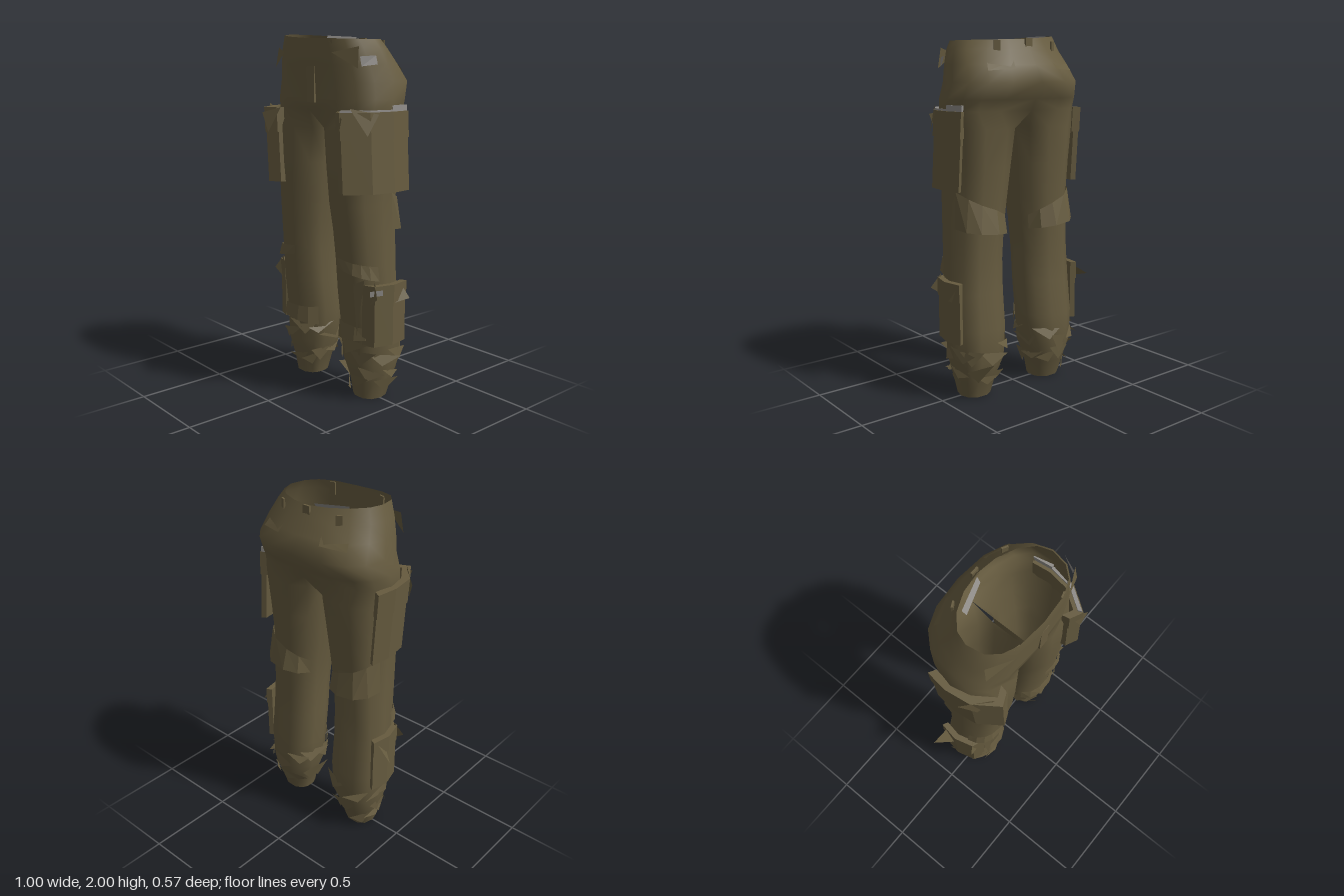
import * as THREE from 'three';
import { mergeVertices } from 'three/addons/utils/BufferGeometryUtils.js';

const rad = THREE.MathUtils.degToRad, lerp = THREE.MathUtils.lerp;
const pow = (v, p) => Math.sign(v) * Math.abs(v) ** p;

// hip rings: y, half width, front z, back z, back roundness (the last one is the crotch ring)
const HIPS = [
  [1.975, 0.315, 0.238, -0.155, 1.05], [1.92, 0.345, 0.24, -0.19, 1.05], [1.84, 0.372, 0.235, -0.235, 0.9],
  [1.75, 0.395, 0.23, -0.288, 0.82], [1.66, 0.415, 0.225, -0.235, 0.78], [1.6, 0.415, 0.22, -0.205, 0.75],
];
// leg rings: y, inner x, outer x, front z, back z
const LEG = [
  [1.5, 0.01, 0.405, 0.22, -0.185], [1.3, 0.035, 0.39, 0.22, -0.17], [1.1, 0.055, 0.385, 0.21, -0.15],
  [0.95, 0.075, 0.39, 0.195, -0.145], [0.78, 0.085, 0.395, 0.18, -0.14], [0.6, 0.085, 0.405, 0.165, -0.145],
  [0.4, 0.085, 0.41, 0.14, -0.165], [0.22, 0.1, 0.4, 0.135, -0.165], [0.1, 0.145, 0.37, 0.1, -0.12],
  [0, 0.165, 0.345, 0.085, -0.09],
];
const ARC = 8, RING = 11;

// point on a leg; the angle runs from the front over the outer side to the back
function legPoint(y, deg, off = 0) {
  let i = 0;
  while (i < LEG.length - 2 && LEG[i + 1][0] > y) i++;
  const t = (LEG[i][0] - y) / (LEG[i][0] - LEG[i + 1][0]);
  const [, xi, xo, zf, zb] = LEG[i].map((v, k) => lerp(v, LEG[i + 1][k], t));
  const s = pow(Math.sin(rad(deg)), 0.85), c = pow(Math.cos(rad(deg)), 0.85);
  return [(xi + xo) / 2 + ((xo - xi) / 2 + off) * s, y, (zf + zb) / 2 + ((zf - zb) / 2 + off) * c];
}

function hipPoint(row, j, side) {
  const [y, w, zf, zb, round] = HIPS[row], crotch = row === HIPS.length - 1;
  // the crotch seam is slightly open
  if (j > ARC) return [crotch ? 0.01 : 0, crotch ? 1.565 : y, lerp(zb, zf, (j - ARC) / (RING - ARC))];
  const t = Math.PI * j / ARC, back = j > ARC / 2;
  const lift = row === 0 ? (side > 0 ? -0.008 : 0.025) * Math.sin(t) : 0;
  return [w * pow(Math.max(0, Math.sin(t)), back ? round : 0.7), y + lift,
    (zf + zb) / 2 + (zf - zb) / 2 * pow(Math.cos(t), back ? round : 0.8)];
}

// both halves of the cloth shell, welded along the middle seam
function trouserGeometry() {
  const pos = [], idx = [], rows = HIPS.length + LEG.length;
  for (const side of [1, -1]) {
    const base = pos.length / 3;
    for (let r = 0; r < rows; r++) for (let j = 0; j < RING; j++) {
      const deg = j <= ARC ? lerp(-50, 230, j / ARC) : lerp(230, 310, (j - ARC) / (RING - ARC));
      const p = r < HIPS.length ? hipPoint(r, j, side) : legPoint(LEG[r - HIPS.length][0], deg);
      pos.push(side * p[0], p[1], p[2]);
    }
    for (let r = 0; r < rows - 1; r++) {
      const n = r < HIPS.length - 1 ? ARC : RING;
      for (let j = 0; j < n; j++) {
        const a = base + r * RING + j, b = base + r * RING + (j + 1) % RING, c = a + RING, d = b + RING;
        if (side > 0) idx.push(a, c, b, b, c, d);
        else idx.push(a, b, c, b, d, c);
      }
    }
  }
  const g = new THREE.BufferGeometry();
  g.setAttribute('position', new THREE.Float32BufferAttribute(pos, 3));
  g.setIndex(idx);
  const welded = mergeVertices(g, 1e-4);
  welded.computeVertexNormals();
  return welded;
}

// loose triangles of creased cloth
function foldGeometry(tris) {
  const g = new THREE.BufferGeometry();
  g.setAttribute('position', new THREE.Float32BufferAttribute(tris.flat(2), 3));
  g.computeVertexNormals();
  return g;
}
const quad = (a, b, c, d) => [[a, b, c], [a, c, d]];

// strip of cloth around a leg, hanging away from it at the lower edge
function ribbon(a0, a1, top, bottom, flare, steps = 5) {
  const at = (i, ys, off) => legPoint(lerp(...ys, i / steps), lerp(a0, a1, i / steps), off);
  const out = i => 0.01 + flare * Math.sin(Math.PI * i / steps);
  return Array.from({ length: steps }, (_, i) => quad(
    at(i, top, 0.004), at(i, bottom, out(i)), at(i + 1, bottom, out(i + 1)), at(i + 1, top, 0.004))).flat();
}

// upright curved slab following an outline of [x, z] points; lean slants it sideways
function slabGeometry(outline, y0, y1, { grow = 0, depth = 0.88, lean = 0 } = {}) {
  const c = [0.2, 0];
  const at = (p, f) => new THREE.Vector2(c[0] + (p[0] - c[0]) * f, -(c[1] + (p[1] - c[1]) * f));
  const pts = [...outline.map(p => at(p, 1 + grow)), ...outline.map(p => at(p, depth)).reverse()];
  const g = new THREE.ExtrudeGeometry(new THREE.Shape(pts), { depth: y1 - y0, bevelEnabled: false });
  g.rotateX(-Math.PI / 2).translate(0, y0, 0);
  const p = g.attributes.position;
  for (let i = 0; i < p.count; i++) p.setX(i, p.getX(i) + lean * (p.getY(i) - 1.38));
  g.computeVertexNormals();
  return g;
}

const THIGH = [[0.25, 0.235], [0.32, 0.268], [0.41, 0.14], [0.43, 0], [0.415, -0.12]];
const SHIN = [[0.34, 0.135], [0.41, 0.11], [0.44, 0], [0.42, -0.11]];

function creases(seed) {
  let s = seed;
  const rnd = () => (s = (s * 16807) % 2147483647) / 2147483647;
  const tris = [
    ...ribbon(105, 240, [1.17, 1.0], [0.97, 0.92], 0.03), // back of the knee
    ...ribbon(-15, 75, [0.81, 0.78], [0.76, 0.7], 0.012), // front of the knee
    ...ribbon(-60, 60, [0.44, 0.43], [0.33, 0.38], 0.015), // shin
  ];
  // gathered cloth around the ankle
  for (let i = 0; i < 20; i++) {
    const a = i * 36 + rnd() * 20, y = (i < 10 ? 0.3 : 0.16) + (rnd() - 0.5) * 0.1;
    tris.push([
      legPoint(y, a, 0.005),
      legPoint(y + (rnd() - 0.5) * 0.1, a + 45 + rnd() * 20, 0.012 + rnd() * 0.028),
      legPoint(y - 0.05 - rnd() * 0.04, a + 15 + rnd() * 20, 0.008 + rnd() * 0.015),
    ]);
  }
  return tris;
}

export function createModel() {
  const group = new THREE.Group();
  const cloth = new THREE.MeshStandardMaterial({ color: 0x665b3f, side: THREE.DoubleSide });
  cloth.name = 'olive cloth';
  const lining = new THREE.MeshStandardMaterial({ color: 0x8f8c88, side: THREE.DoubleSide });
  lining.name = 'grey lining';
  const body = new THREE.Group();
  body.name = 'trousers';
  body.position.x = 0.03;
  group.add(body);
  const add = (parent, name, geometry, material = cloth) => {
    const m = new THREE.Mesh(geometry, material);
    m.name = name;
    parent.add(m);
    return m;
  };

  add(body, 'seatAndLegs', trouserGeometry());
  add(body, 'fly', new THREE.BoxGeometry(0.06, 0.19, 0.02)).position.set(0.03, 1.735, 0.224);

  for (const side of [1, -1]) {
    const half = new THREE.Group();
    half.name = side > 0 ? 'leftDetails' : 'rightDetails';
    half.scale.x = side;
    body.add(half);

    const lean = side * -0.06;
    add(half, 'thighPocket', slabGeometry(THIGH, 1.18, 1.58, { lean }));
    add(half, 'thighPocketFlap', slabGeometry(THIGH, 1.46, 1.6, { grow: 0.025, depth: 0.84, lean }));
    add(half, 'shinPocket', slabGeometry(SHIN, 0.34, 0.66));
    add(half, 'shinPocketFlap', slabGeometry(SHIN, 0.58, 0.68, { grow: 0.025 }));
    add(half, 'legCreases', foldGeometry(creases(side > 0 ? 71 : 2024)));

    // stray corners of the pocket flaps
    const tip = side > 0 ? 0.465 : 0.53;
    add(half, 'flapCorners', foldGeometry([
      [[0.42, 0.66, -0.08], [tip, 0.59, -0.1], [0.43, 0.57, 0]],
      [[0.4, 0.7, 0.1], [0.45, 0.62, 0.13], [0.38, 0.57, 0.12]],
      [[0.36, 0.71, 0.14], [0.33, 0.4, 0.165], [0.3, 0.68, 0.165]],
      [[0.24, 1.6, 0.23], [0.34, 1.57, 0.285], [0.3, 1.46, 0.275]],
      [[0.34, 1.62, 0.23], [side > 0 ? 0.42 : 0.475, 1.59, 0.1], [0.41, 1.48, 0.17]],
    ]));

    // slanted hip pocket and back pocket welts
    add(half, 'hipPocket', foldGeometry([
      [[0.2, 1.9, 0.232], [0.345, 1.82, 0.18], [0.335, 1.93, 0.165]],
    ]));
    add(half, 'backPocket', foldGeometry(quad(
      [0.13, 1.86, -0.21], [0.27, 1.85, -0.165], [0.285, 1.81, -0.195], [0.14, 1.82, -0.24])));

    // belt loops
    for (const [x, z, turn] of [[0.17, 0.218, 0.25], [0.19, -0.145, -0.5]]) {
      const loop = add(half, 'beltLoop', new THREE.BoxGeometry(0.035, 0.07, 0.01));
      loop.position.set(x, 1.93, z);
      loop.rotation.y = turn;
    }
  }
  add(body, 'backBeltLoop', new THREE.BoxGeometry(0.045, 0.06, 0.012)).position.set(0, 1.95, -0.172);

  // lining showing at the left pockets and inside the waistband
  add(body, 'thighPocketLining', slabGeometry(THIGH.slice(1), 1.6, 1.61, { depth: 0.92, lean: -0.06 }), lining);
  add(body, 'thighPocketBackLining', slabGeometry(THIGH.slice(3), 1.6, 1.632, { depth: 0.92, lean: -0.06 }), lining);
  add(body, 'hipPocketLining', foldGeometry(quad(
    [0.345, 1.83, 0.155], [0.385, 1.84, 0.08], [0.372, 1.885, 0.08], [0.338, 1.88, 0.16])), lining);
  add(body, 'shinPocketLining', foldGeometry(quad(
    [0.4, 0.625, 0.135], [0.436, 0.63, 0.075], [0.436, 0.66, 0.075], [0.4, 0.655, 0.135])), lining);
  add(body, 'waistLining', foldGeometry(quad(
    [-0.02, 1.985, -0.14], [-0.2, 1.995, -0.08], [-0.19, 1.96, -0.06], [-0.02, 1.955, -0.12])), lining);
  return group;
}
